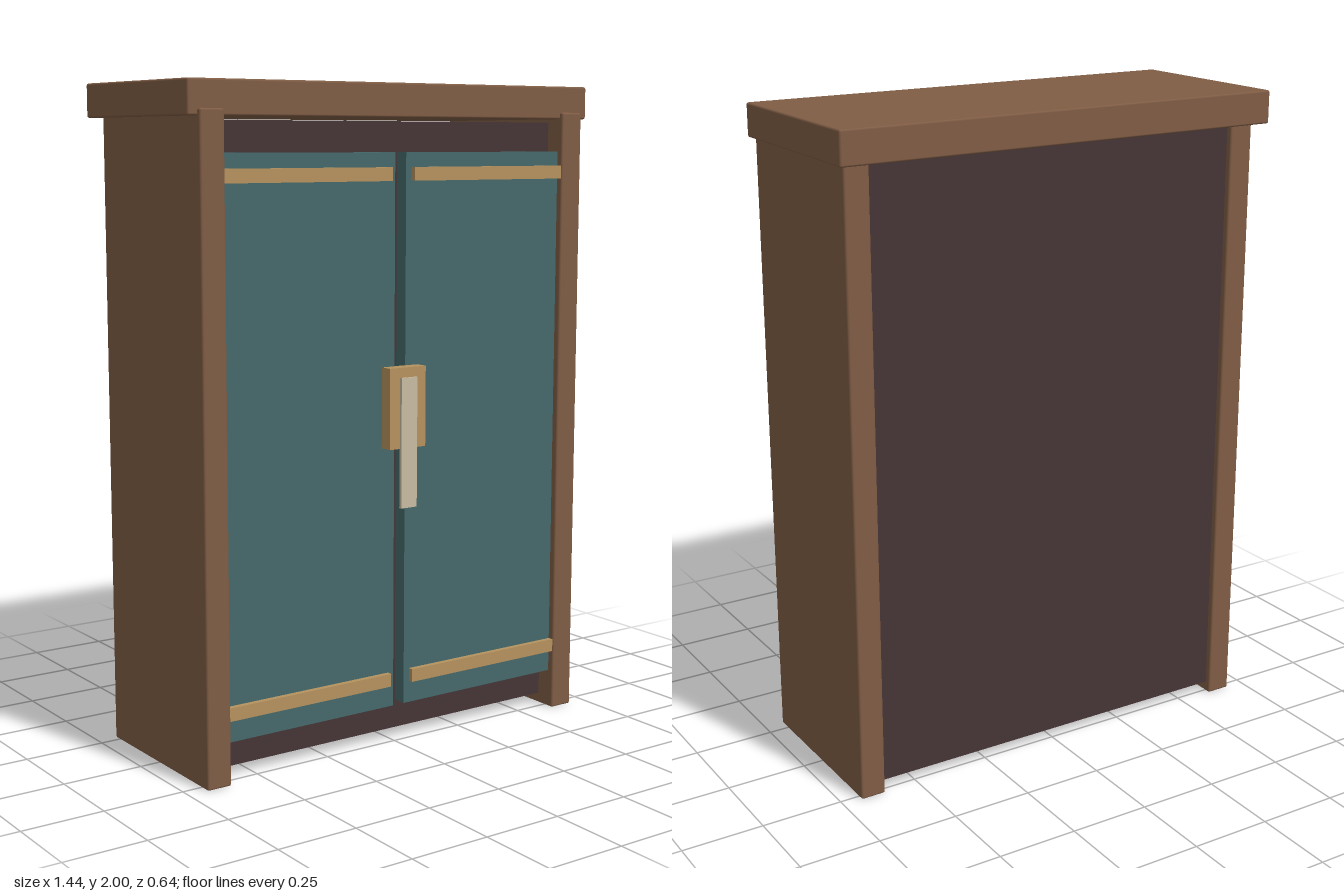
import * as THREE from 'three';
import { RoundedBoxGeometry } from 'three/addons/geometries/RoundedBoxGeometry.js';

const material = (name, color) => {
  const m = new THREE.MeshStandardMaterial({ color });
  m.name = name;
  return m;
};

export function createModel() {
  const wood = material('brown wood', 0x805d45);
  const dark = material('dark wood', 0x463436);
  const teal = material('teal paint', 0x46696b);
  const brass = material('brass', 0xb6935f);
  const bone = material('pale handle', 0xc9bda2);

  const cabinet = new THREE.Group();
  cabinet.name = 'cabinet';

  // Box given by its limits on each axis, with an optional small edge bevel
  const box = (name, mat, [x0, x1], [y0, y1], [z0, z1], bevel = 0) => {
    const size = [x1 - x0, y1 - y0, z1 - z0];
    const geometry = bevel
      ? new RoundedBoxGeometry(...size, 1, bevel)
      : new THREE.BoxGeometry(...size);
    const mesh = new THREE.Mesh(geometry, mat);
    mesh.name = name;
    mesh.position.set((x0 + x1) / 2, (y0 + y1) / 2, (z0 + z1) / 2);
    cabinet.add(mesh);
  };

  // Carcass and overhanging top
  box('carcass', dark, [-0.62, 0.62], [0.033, 1.89], [-0.255, 0.225]);
  box('top', wood, [-0.72, 0.72], [1.9, 2], [-0.318, 0.278], 0.006);

  // Each half: side panel, door and two hinge straps
  for (const [side, s] of [['left', 1], ['right', -1]]) {
    const span = (a, b) => (s > 0 ? [a, b] : [-b, -a]);
    box(side + 'SidePanel', wood, span(0.612, 0.69), [0, 1.92], [-0.274, 0.291], 0.006);
    box(side + 'Door', teal, span(0.02, 0.614), [0.122, 1.8], [0.22, 0.27]);
    box(side + 'LowerStrap', brass, span(0.04, 0.613), [0.19, 0.23], [0.265, 0.287]);
    box(side + 'UpperStrap', brass, span(0.04, 0.613), [1.717, 1.757], [0.265, 0.287]);
  }

  // Latch
  box('latchPlate', brass, [-0.066, 0.066], [0.927, 1.17], [0.268, 0.311]);
  box('latchHandle', bone, [-0.029, 0.029], [0.747, 1.14], [0.309, 0.319]);

  return cabinet;
}
